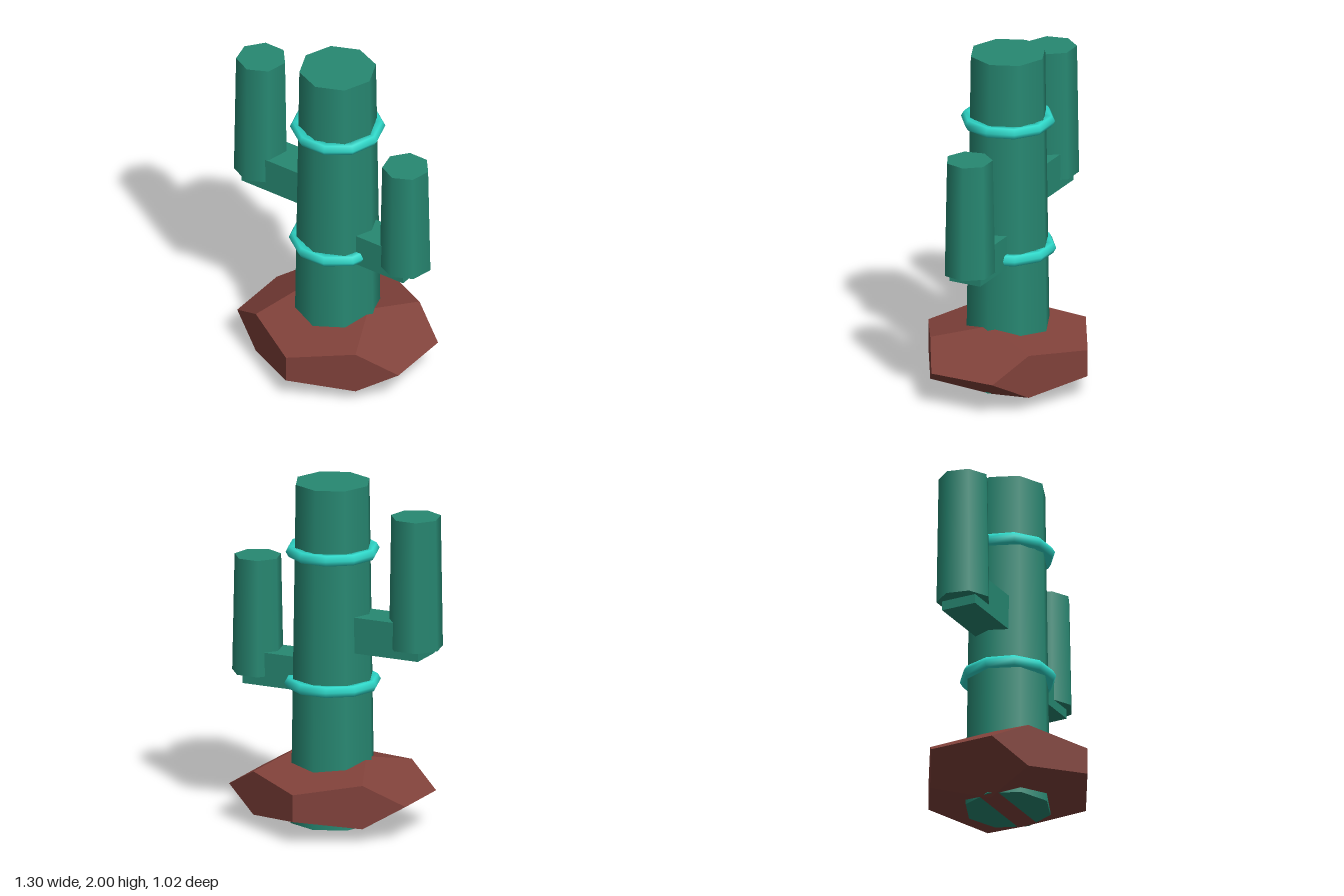
import * as THREE from 'three';

const mat = (name, color) => {
  const m = new THREE.MeshStandardMaterial({ color });
  m.name = name;
  return m;
};

export function createModel() {
  const green = mat('cactusGreen', 0x278872);
  const brown = mat('rockBrown', 0x80413a);
  const teal = mat('ringTurquoise', 0x2fd8c9);
  const model = new THREE.Group();
  model.name = 'cactus';
  const axisX = 0.03; // trunk and rock share this centre line

  const add = (name, geometry, material, x, y, parent = model) => {
    const mesh = new THREE.Mesh(geometry, material);
    mesh.name = name;
    mesh.position.set(x, y, 0);
    parent.add(mesh);
    return mesh;
  };

  // Tapered upright column between two heights
  const column = (name, x, y0, y1, rBottom, rTop, sides, parent) =>
    add(name, new THREE.CylinderGeometry(rTop, rBottom, y1 - y0, sides),
      green, x, (y0 + y1) / 2, parent);

  // Squashed faceted rock at the foot
  const rock = new THREE.DodecahedronGeometry(1, 0);
  rock.scale(0.596, 0.2205, 0.546);
  add('rock', rock, brown, axisX, 0.206);

  // Trunk
  column('trunk', axisX, 0.015, 2, 0.25, 0.22, 8);

  // Bands around the trunk
  for (const [name, y, radius] of [['lowerRing', 0.83, 0.242], ['upperRing', 1.6, 0.235]]) {
    const ring = new THREE.TorusGeometry(radius, 0.035, 6, 10);
    ring.rotateX(Math.PI / 2);
    add(name, ring, teal, axisX, y);
  }

  // Arms: a square elbow reaching out and a seven-sided column rising from it
  const arms = [
    { name: 'leftArm', x: 0.502, y0: 0.83, y1: 1.51, rb: 0.149, rt: 0.135,
      inner: 0.15, outer: 0.55, e0: 0.775, e1: 0.97, depth: 0.196 },
    { name: 'rightArm', x: -0.496, y0: 1.095, y1: 1.86, rb: 0.156, rt: 0.144,
      inner: -0.12, outer: -0.56, e0: 1.04, e1: 1.25, depth: 0.212 },
  ];
  for (const a of arms) {
    const arm = new THREE.Group();
    arm.name = a.name;
    model.add(arm);
    column(a.name + 'Column', a.x, a.y0, a.y1, a.rb, a.rt, 7, arm);
    add(a.name + 'Elbow',
      new THREE.BoxGeometry(Math.abs(a.outer - a.inner), a.e1 - a.e0, a.depth),
      green, (a.inner + a.outer) / 2, (a.e0 + a.e1) / 2, arm);
  }

  return model;
}
